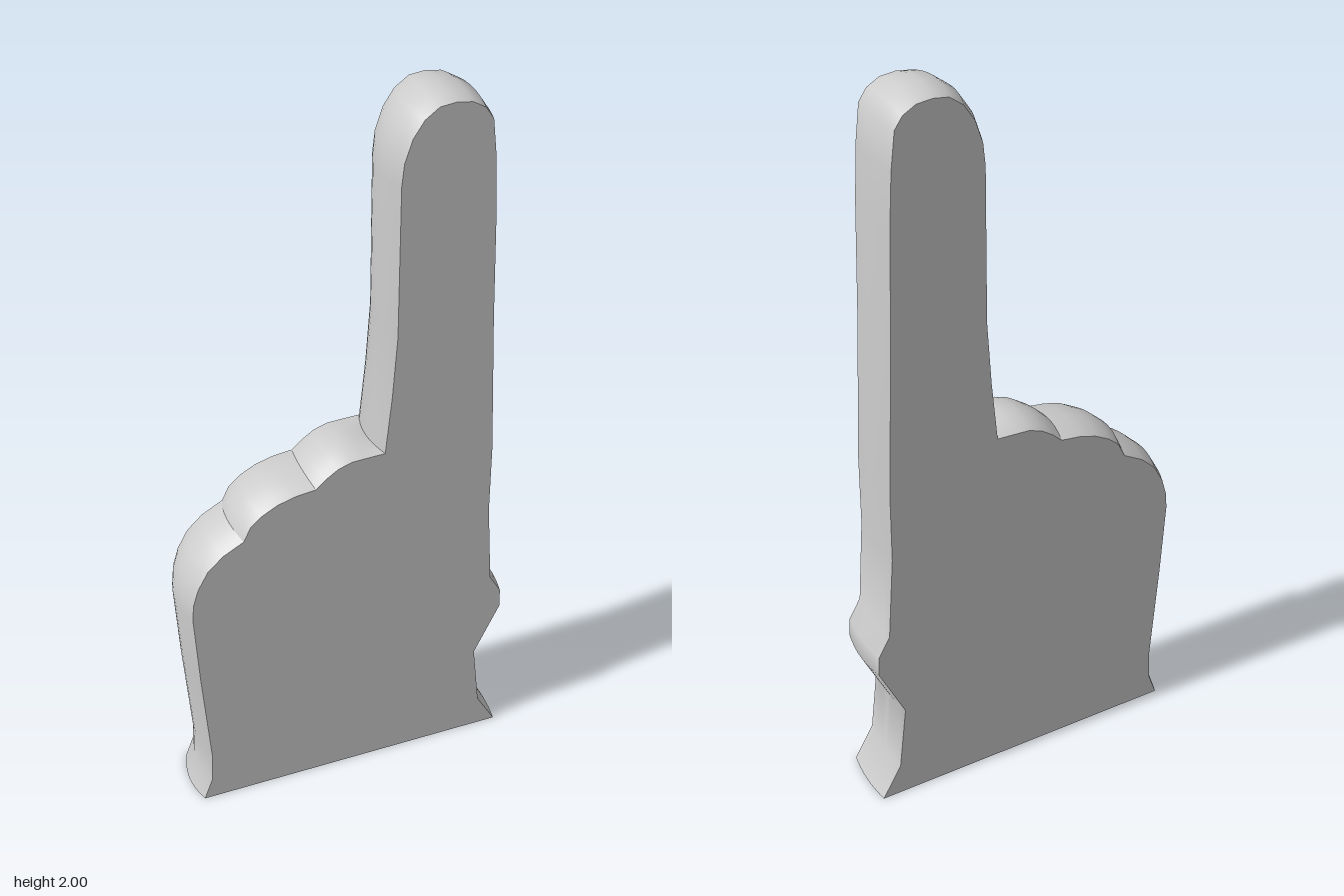
import * as THREE from 'three';
import { toCreasedNormals } from 'three/addons/utils/BufferGeometryUtils.js';

const HALF = 0.09;        // half thickness
const LAYERS = 8;         // steps across the bulging edge

// Outline of the hand, counter-clockwise from the lower right corner
const OUTLINE = [
  [0.455, 0], [0.402, 0.1], [0.38, 0.288], [0.45, 0.44], [0.447, 0.505], [0.415, 0.56],
  [0.397, 0.8], [0.395, 1.0], [0.375, 1.4], [0.364, 1.7], [0.355, 1.84],
  [0.343, 1.935], [0.318, 1.972], [0.28, 1.994], [0.235, 2.0], [0.19, 1.994], [0.15, 1.965],
  [0.12, 1.92], [0.1, 1.86], [0.094, 1.8], [0.094, 1.4], [0.083, 1.23], [0.068, 1.068],
  [0.03, 1.076], [-0.01, 1.074], [-0.05, 1.06], [-0.085, 1.036], [-0.108, 1.013],
  [-0.16, 1.007], [-0.21, 0.992], [-0.255, 0.967], [-0.288, 0.937], [-0.306, 0.898],
  [-0.36, 0.868], [-0.405, 0.825], [-0.435, 0.77], [-0.45, 0.72], [-0.455, 0.67],
  [-0.445, 0.45], [-0.427, 0.16], [-0.431, 0.07], [-0.455, 0],
].map(([x, y]) => new THREE.Vector2(x, y));

// Outline drawn in towards the flat faces; t runs from -1 (back) to 1 (front)
function outlineAt(t) {
  const last = OUTLINE.length - 1;
  return OUTLINE.map((p, i) => {
    const a = OUTLINE[Math.max(i - 1, 0)], b = OUTLINE[Math.min(i + 1, last)];
    const dir = b.clone().sub(a).normalize();
    const inset = t * t * 0.015;
    const y = i === 0 || i === last ? 0 : p.y + dir.x * inset;
    return new THREE.Vector2(p.x - dir.y * inset + t * t * 0.005, y);
  });
}

// Skin between rings of equal length
function loft(rings) {
  const n = rings[0].length, index = [];
  for (let r = 0; r < rings.length - 1; r++) {
    for (let j = 0; j < n - 1; j++) {
      const a = r * n + j, b = a + 1, c = a + n, d = c + 1;
      index.push(a, b, d, a, d, c);
    }
  }
  const g = new THREE.BufferGeometry().setFromPoints(rings.flat());
  g.setIndex(index);
  return toCreasedNormals(g, 0.55);
}

export function createModel() {
  const group = new THREE.Group();
  const material = new THREE.MeshStandardMaterial({ color: 0xcccccc });
  const add = (name, geometry) => {
    const mesh = new THREE.Mesh(geometry, material);
    mesh.name = name;
    group.add(mesh);
    return mesh;
  };

  // Bulging edge all round the hand, open at the wrist
  const steps = Array.from({ length: LAYERS + 1 }, (_, i) => -1 + (2 * i) / LAYERS);
  const layers = steps.map((t) => outlineAt(t));
  add('handEdge', loft(layers.map((ring, i) =>
    ring.map((p) => new THREE.Vector3(p.x, p.y, steps[i] * HALF)))));

  // Flat front and back faces
  const face = new THREE.Shape(outlineAt(1));
  add('frontFace', new THREE.ShapeGeometry(face).translate(0, 0, HALF));
  const back = new THREE.ShapeGeometry(face).rotateY(Math.PI).scale(1, 1, 1);
  back.translate(0, 0, -HALF);
  // Mirror the turned face so its outline matches the front
  const pos = back.attributes.position;
  for (let i = 0; i < pos.count; i++) pos.setX(i, -pos.getX(i));
  back.setIndex([...back.index.array].reverse());
  add('backFace', back);

  // Rounded slot for the wearer's hand
  const slot = [];
  const slotRadius = 0.045, slotHalf = 0.29, slotDepth = 0.6;
  for (const [cx, start] of [[slotHalf, -Math.PI / 2], [-slotHalf, Math.PI / 2]]) {
    for (let i = 0; i <= 10; i++) {
      const a = start + (Math.PI * i) / 10;
      slot.push(new THREE.Vector2(cx + slotRadius * Math.cos(a), slotRadius * Math.sin(a)));
    }
  }

  // Wrist face with the slot cut out
  const right = layers.map((ring, i) => new THREE.Vector2(ring[0].x, steps[i] * HALF));
  const left = layers.map((ring, i) => new THREE.Vector2(ring[ring.length - 1].x, steps[i] * HALF));
  const wrist = new THREE.Shape([...right, ...left.reverse()]);
  wrist.holes.push(new THREE.Path(slot));
  add('wristFace', new THREE.ShapeGeometry(wrist).rotateX(Math.PI / 2));

  // Slot walls and ceiling
  const closed = [...slot, slot[0]];
  add('slotWall', loft([0, slotDepth].map((y) =>
    closed.map((p) => new THREE.Vector3(p.x, y, p.y)))));
  add('slotCeiling', new THREE.ShapeGeometry(new THREE.Shape(slot))
    .rotateX(Math.PI / 2).translate(0, slotDepth, 0));

  return group;
}
